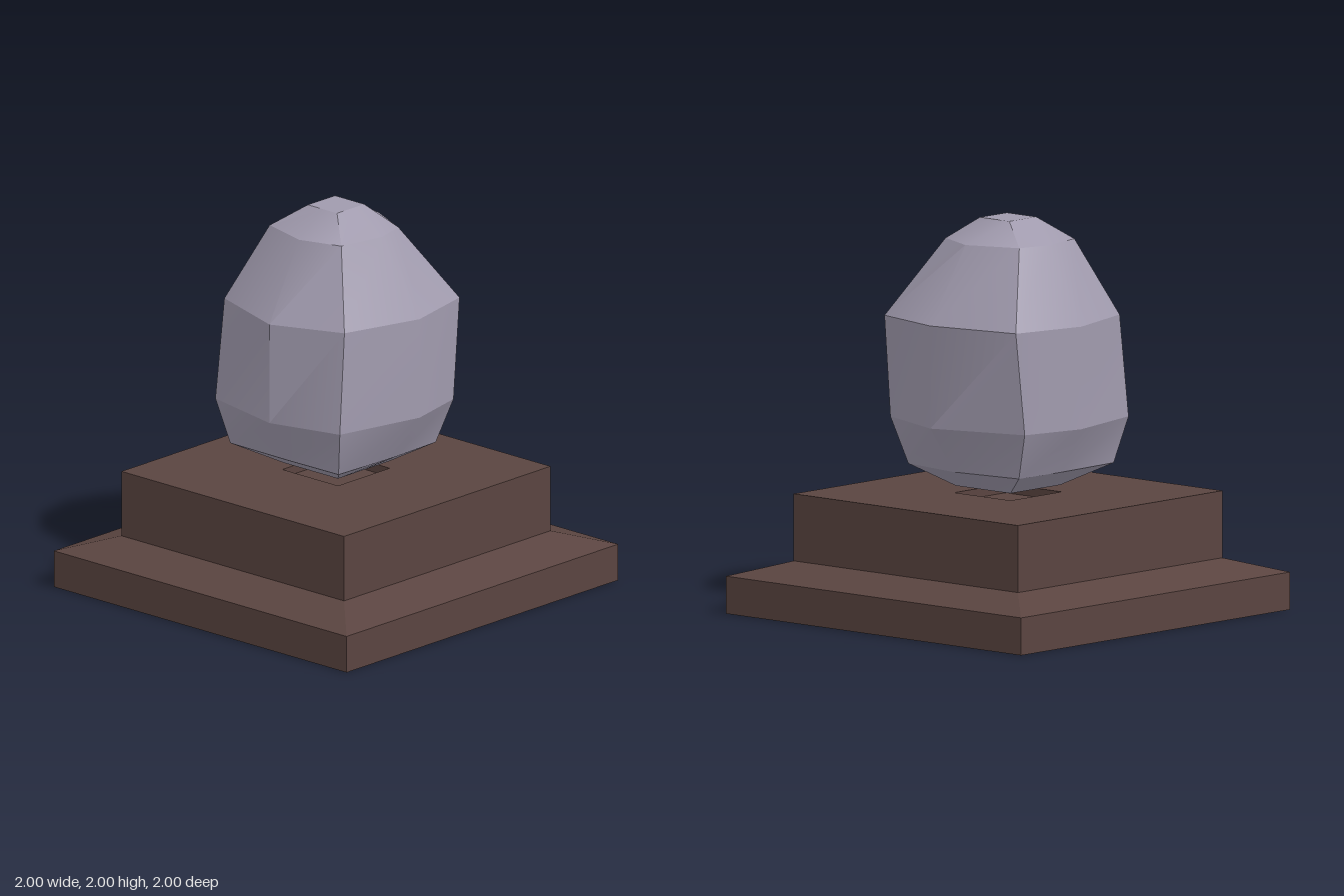
import * as THREE from 'three';
import { mergeGeometries, toCreasedNormals } from 'three/addons/utils/BufferGeometryUtils.js';

// Lofts closed rings (counter-clockwise from above), capping both ends.
// Each band gets its own normals, so edges between bands stay sharp.
function loft(rings, crease) {
  const bands = [];
  const addBand = (points) => {
    const geometry = new THREE.BufferGeometry();
    geometry.setAttribute('position', new THREE.Float32BufferAttribute(points.flat(), 3));
    bands.push(toCreasedNormals(geometry, crease));
  };
  const n = rings[0].length;
  for (let r = 0; r < rings.length - 1; r++) {
    const points = [];
    for (let i = 0; i < n; i++) {
      const j = (i + 1) % n;
      const a = rings[r][i], b = rings[r][j], c = rings[r + 1][j], d = rings[r + 1][i];
      points.push(a, b, c, a, c, d);
    }
    addBand(points);
  }
  const bottom = rings[0], top = rings[rings.length - 1];
  const under = [], over = [];
  for (let i = 1; i < n - 1; i++) {
    under.push(bottom[0], bottom[i + 1], bottom[i]);
    over.push(top[0], top[i], top[i + 1]);
  }
  addBand(under);
  addBand(over);
  return mergeGeometries(bands);
}

const squareRing = (h, y) => [[h, y, h], [h, y, -h], [-h, y, -h], [-h, y, h]];

// Eight-point ring: bulging side midpoints (shifted sideways) and four corners.
const stoneRing = ({ y, mid, shift, right, left }) => [
  [shift, y, mid], [right[0], y, right[1]],
  [mid, y, shift], [right[0], y, -right[1]],
  [shift, y, -mid], [left[0], y, -left[1]],
  [-mid, y, shift], [left[0], y, left[1]],
];

export function createModel() {
  const model = new THREE.Group();
  model.name = 'stoneOnPlinth';

  // Stepped plinth with a sloped ledge and a shallow square socket
  const plinth = new THREE.Mesh(
    loft([
      squareRing(1, 0), squareRing(1, 0.19),
      squareRing(0.76, 0.265), squareRing(0.76, 0.605),
      squareRing(0.19, 0.605), squareRing(0.19, 0.56),
    ], 0.3),
    new THREE.MeshStandardMaterial({ color: 0x5a4440 }),
  );
  plinth.name = 'plinth';
  model.add(plinth);

  // Faceted stone hovering just above the plinth
  const levels = [
    { y: 0.64, mid: 0.185, shift: 0, right: [0.185, 0.185], left: [-0.185, 0.185] },
    { y: 0.75, mid: 0.385, shift: 0.02, right: [0.33, 0.375], left: [-0.38, 0.37] },
    { y: 0.985, mid: 0.533, shift: 0.04, right: [0.375, 0.455], left: [-0.43, 0.425] },
    { y: 1.505, mid: 0.533, shift: 0.04, right: [0.43, 0.445], left: [-0.38, 0.41] },
    { y: 1.89, mid: 0.295, shift: 0.02, right: [0.19, 0.25], left: [-0.225, 0.245] },
    { y: 2, mid: 0.1, shift: 0, right: [0.1, 0.1], left: [-0.1, 0.1] },
  ];
  const stone = new THREE.Mesh(
    loft(levels.map(stoneRing), 0.6),
    new THREE.MeshStandardMaterial({ color: 0xa09aad }),
  );
  stone.name = 'stone';
  model.add(stone);

  return model;
}
